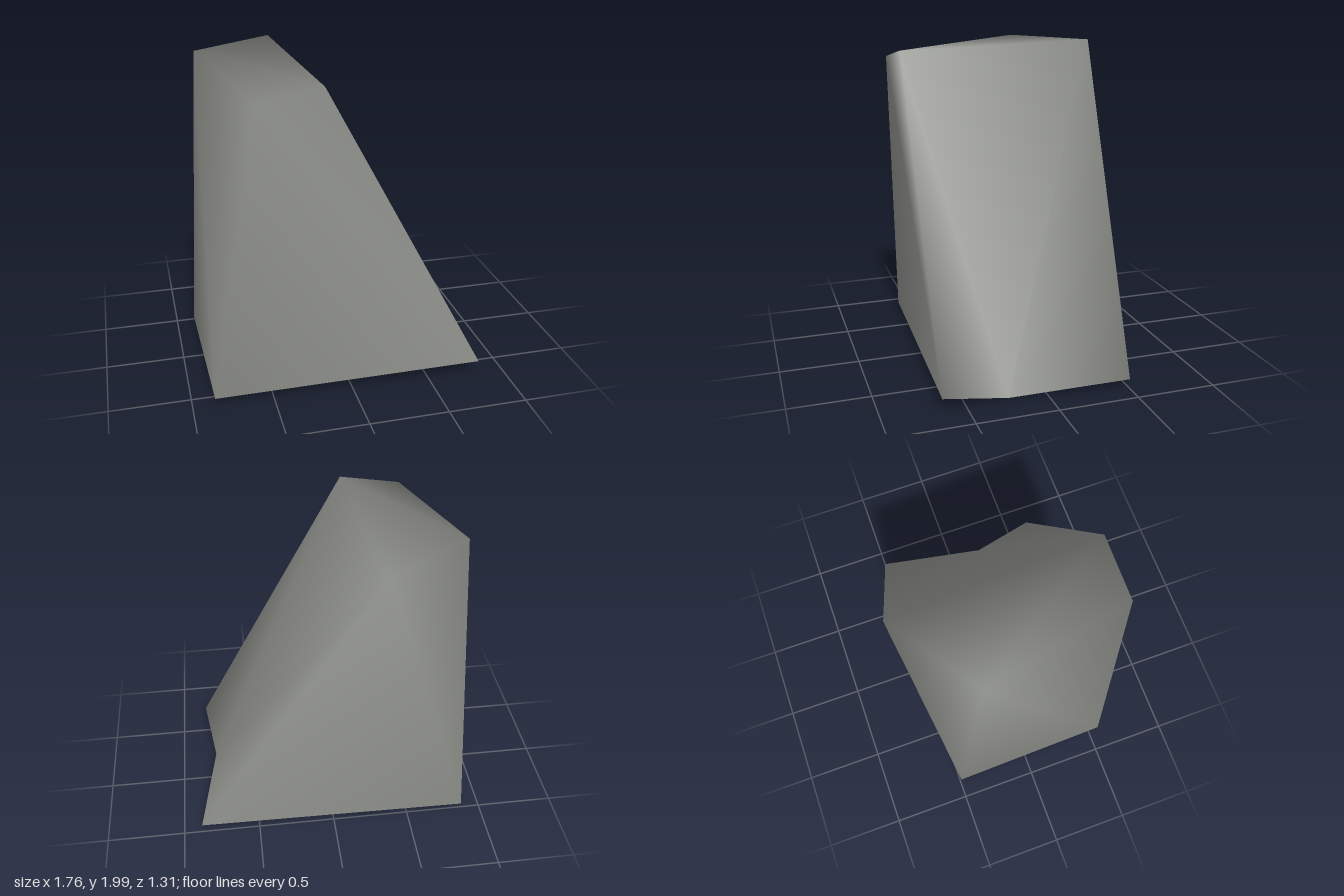
import * as THREE from 'three';

export function createModel() {
  const stone = new THREE.MeshStandardMaterial({ color: 0x90928d, side: THREE.DoubleSide });
  stone.name = 'stoneGrey';

  // Open base rim: back right, back left, left notch, front left, front right
  const base = [
    [-0.88, 0.03, -0.49], [0.88, 0.07, -0.5], [0.77, 0.01, 0.23],
    [0.83, 0.1, 0.65], [-0.86, 0.04, 0.57],
  ];
  // Crown: back right, back, front left, front
  const crown = [
    [-0.79, 2.0, -0.29], [-0.26, 2.0, -0.66], [-0.18, 1.97, 0.635], [-0.57, 1.9, 0.65],
  ];

  const faces = [
    [4, 3, 8], [3, 7, 8],            // front
    [3, 2, 7], [2, 6, 7], [2, 1, 6], // sloping left side
    [1, 0, 6], [0, 5, 6],            // back
    [0, 4, 5], [4, 8, 5],            // right side
    [8, 7, 5], [7, 6, 5],            // top
  ];

  // Shared corners give the soft, rounded shading
  const geometry = new THREE.BufferGeometry();
  geometry.setAttribute('position', new THREE.Float32BufferAttribute([...base, ...crown].flat(), 3));
  geometry.setIndex(faces.flat());
  geometry.computeVertexNormals();

  const rock = new THREE.Mesh(geometry, stone);
  rock.name = 'rock';
  const group = new THREE.Group();
  group.name = 'rockModel';
  group.add(rock);
  return group;
}
